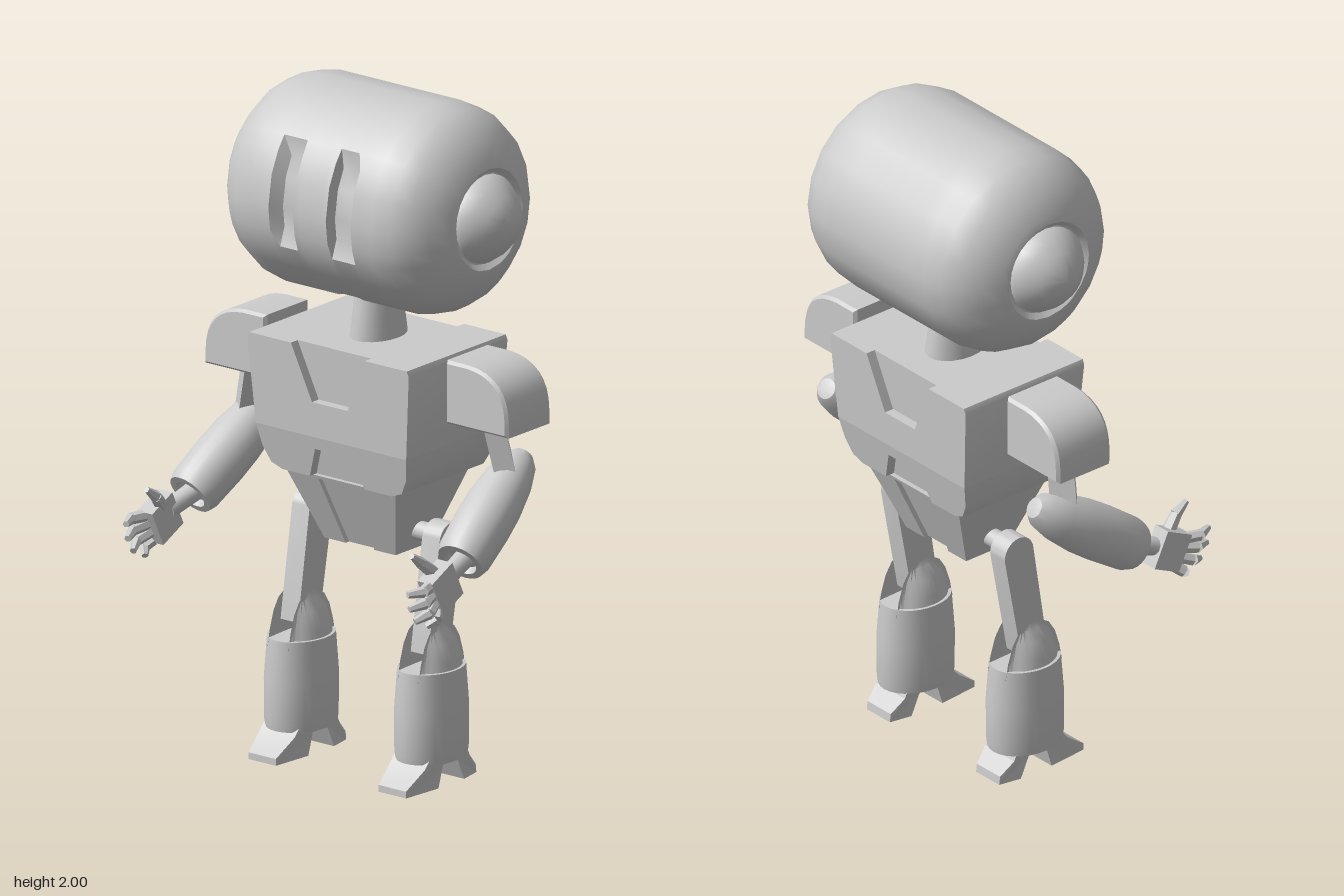
import * as THREE from 'three';
import { toCreasedNormals } from 'three/addons/utils/BufferGeometryUtils.js';

const mat = new THREE.MeshStandardMaterial({ color: 0xcccccc });
const CZ = -0.095; // depth of the body's middle
const V = (x, y, z) => new THREE.Vector3(x, y, z);
const pts = (list) => list.map(([a, b]) => new THREE.Vector2(a, b));

function add(parent, name, geo, crease = 0.6) {
  const mesh = new THREE.Mesh(crease ? toCreasedNormals(geo, crease) : geo, mat);
  mesh.name = name;
  parent.add(mesh);
  return mesh;
}

// Tapered rod from p (radius r0) to q (radius r1)
function rod(parent, name, p, q, r0, r1 = r0, sides = 16) {
  const d = q.clone().sub(p);
  const mesh = add(parent, name, new THREE.CylinderGeometry(r1, r0, d.length(), sides));
  mesh.position.copy(p).addScaledVector(d, 0.5);
  mesh.quaternion.setFromUnitVectors(V(0, 1, 0), d.normalize());
  return mesh;
}

// Lathe whose axis runs from p towards q; profile is [radius, distance]
function turned(parent, name, profile, p, q, sides = 24) {
  const mesh = add(parent, name, new THREE.LatheGeometry(pts(profile), sides));
  mesh.position.copy(p);
  mesh.quaternion.setFromUnitVectors(V(0, 1, 0), q.clone().sub(p).normalize());
  return mesh;
}

// Symmetric front outline extruded both ways, its half depth running from d0 at y0 to d1 at y1
function slab(parent, name, half, y0, d0, y1, d1) {
  const mirrored = half.map(([x, y]) => [-x, y]).reverse();
  const geo = new THREE.ExtrudeGeometry(new THREE.Shape(pts([...half, ...mirrored])), { depth: 2, bevelEnabled: false });
  geo.translate(0, 0, -1);
  const p = geo.attributes.position;
  for (let i = 0; i < p.count; i++) {
    const t = (p.getY(i) - y0) / (y1 - y0);
    p.setZ(i, CZ + p.getZ(i) * (d0 + (d1 - d0) * t));
  }
  geo.computeVertexNormals();
  add(parent, name, geo);
}

// Barrel head on the x axis, with eye slots and a neck recess pressed into the grid
function buildHead(root) {
  const head = new THREE.Group();
  head.name = 'head';
  root.add(head);
  const side = [[0.04, 0.31], [0.06, 0.31], [0.065, 0.31], [0.075, 0.31], [0.125, 0.31], [0.15, 0.31], [0.22, 0.31],
    [0.28, 0.298], [0.33, 0.27], [0.37, 0.225], [0.4, 0.17], [0.405, 0.15], [0.39, 0.135], [0.39, 0.001]];
  const rows = [...side.map(([x, r]) => [-x, r]).reverse(), ...side];
  const angles = [-123, -118, -62, -57, -22, -13, 31, 40];
  for (let a = -180; a < 180; a += 18) {
    if (!(a > -22 && a < -13) && !(a > 31 && a < 40)) angles.push(a);
  }
  angles.sort((a, b) => a - b);
  const n = angles.length, pos = [], idx = [], e = 1e-6;
  rows.forEach(([x, r], i) => angles.forEach((deg, j) => {
    const ax = Math.abs(x);
    const eye = ax > 0.065 - e && ax < 0.125 + e && deg >= -13 && deg <= 31;
    const neck = ax < 0.06 + e && Math.abs(deg + 90) <= 28;
    const rr = r - (eye || neck ? 0.035 : 0), a = THREE.MathUtils.degToRad(deg);
    pos.push(x, 1.69 + rr * Math.sin(a), -0.1 + rr * Math.cos(a));
    if (i === rows.length - 1) return;
    const k = (j + 1) % n, A = i * n + j, B = A + n, C = i * n + k;
    idx.push(A, B, C, B, C + n, C);
  }));
  const geo = new THREE.BufferGeometry();
  geo.setAttribute('position', new THREE.Float32BufferAttribute(pos, 3));
  geo.setIndex(idx);
  geo.computeVertexNormals();
  add(head, 'headShell', geo);
  for (const s of [1, -1]) {
    turned(head, 'ear', [[0.13, 0], [0.128, 0.015], [0.108, 0.045], [0.078, 0.075], [0.04, 0.096], [0, 0.102]],
      V(0.389 * s, 1.69, -0.1), V(s, 1.69, -0.1));
  }
}

function buildTorso(root) {
  const torso = new THREE.Group();
  torso.name = 'torso';
  root.add(torso);
  const upper = [[0.275, 1.0], [0.295, 1.255], [0.288, 1.27]];
  const lower = [[0.2, 0.87], [0.238, 0.885], [0.262, 0.93], [0.275, 1.0]];
  const hips = [[0.13, 0.655], [0.2, 0.87]];
  const inset = (list) => list.map(([x, y]) => [x * 0.995, y]);
  // Notched plates outside, plain cores showing at the bottom of the notches
  slab(torso, 'chestPlate', [...upper, [0.135, 1.27], [0.065, 1.105]], 1, 0.208, 1.27, 0.222);
  slab(torso, 'chestCore', inset(upper), 1, 0.178, 1.27, 0.192);
  slab(torso, 'bellyPlate', [[0.065, 0.962], [0.1, 0.87], ...lower], 0.87, 0.18, 1, 0.208);
  slab(torso, 'bellyCore', inset(lower), 0.87, 0.15, 1, 0.178);
  slab(torso, 'pelvisPlate', [[0.085, 0.86], [0.052, 0.655], ...hips], 0.655, 0.078, 0.87, 0.165);
  slab(torso, 'pelvisCore', inset(hips), 0.655, 0.063, 0.87, 0.15);
  rod(torso, 'neck', V(0, 1.26, -0.1), V(0, 1.43, -0.1), 0.072, 0.055, 20).scale.z = 1.38;
}

function buildArm(root, s) {
  const arm = new THREE.Group();
  arm.name = s > 0 ? 'leftArm' : 'rightArm';
  root.add(arm);
  rod(arm, 'shoulderPin', V(0.27 * s, 1.197, CZ), V(0.35 * s, 1.197, CZ), 0.043);

  // Shoulder guard with a rounded outer corner
  const shape = new THREE.Shape();
  shape.moveTo(0.337 * s, 1.1);
  shape.lineTo(0.337 * s, 1.272);
  shape.lineTo(0.41 * s, 1.272);
  shape.quadraticCurveTo(0.545 * s, 1.265, 0.547 * s, 1.13);
  shape.lineTo(0.547 * s, 1.1);
  const guard = new THREE.ExtrudeGeometry(shape,
    { depth: 0.18, bevelSize: 0.008, bevelThickness: 0.01, bevelSegments: 1, curveSegments: 8 });
  add(arm, 'shoulderGuard', guard.translate(0, 0, CZ - 0.09));

  const upperArm = rod(arm, 'upperArm', V(0.425 * s, 1.13, -0.08), V(0.478 * s, 0.9, -0.1), 0.046, 0.046, 4);
  upperArm.geometry = toCreasedNormals(new THREE.BoxGeometry(0.06, 0.24, 0.075), 0.3);

  const elbow = V(0.452 * s, 0.978, -0.2), wrist = V(0.495 * s, 0.743, 0.145);
  turned(arm, 'forearm', [[0, 0], [0.03, 0.006], [0.052, 0.035], [0.07, 0.1], [0.081, 0.19], [0.083, 0.27],
    [0.079, 0.385], [0.07, 0.412], [0.05, 0.412], [0.045, 0.39], [0, 0.39]], elbow, wrist);
  rod(arm, 'wrist', V(0.493 * s, 0.755, 0.12), V(0.507 * s, 0.72, 0.225), 0.03, 0.027, 12);

  // Hand: palm, four spread and slightly curled fingers, thumb
  const palm = add(arm, 'palm', new THREE.BoxGeometry(0.055, 0.115, 0.1), 0.3);
  palm.position.set(0.512 * s, 0.705, 0.25);
  palm.rotation.set(0.45, 0, 0);
  const tips = [[0.72, 0.4], [0.675, 0.393], [0.632, 0.368], [0.605, 0.315]];
  tips.forEach(([y, z], i) => {
    const t = i / 3;
    const base = V(0.52 * s, 0.722 - 0.08 * t, 0.308 - 0.035 * t);
    const tip = V(0.515 * s, y, z);
    const mid = base.clone().lerp(tip, 0.5).setX(0.535 * s);
    rod(arm, 'finger', base, mid, 0.018, 0.017, 6);
    rod(arm, 'fingertip', mid, tip, 0.017, 0.01, 6);
  });
  rod(arm, 'thumb', V(0.5 * s, 0.745, 0.26), V(0.485 * s, 0.785, 0.305), 0.022, 0.018, 6);
  rod(arm, 'thumbTip', V(0.485 * s, 0.785, 0.305), V(0.485 * s, 0.815, 0.345), 0.018, 0.009, 6);
}

function buildLeg(root, s) {
  const leg = new THREE.Group();
  leg.name = s > 0 ? 'leftLeg' : 'rightLeg';
  leg.position.x = 0.238 * s;
  root.add(leg);
  rod(leg, 'hipPin', V(-0.13 * s, 0.715, CZ), V(0, 0.715, CZ), 0.028);

  // Thigh: flat bar with rounded ends, leaning forward to the knee
  const bar = new THREE.Shape();
  bar.absarc(0, 0, 0.053, 0, Math.PI);
  bar.lineTo(-0.048, -0.33);
  bar.lineTo(0.048, -0.33);
  const thigh = add(leg, 'thigh', new THREE.ExtrudeGeometry(bar, { depth: 0.064, bevelEnabled: false })
    .translate(0, 0, -0.032).rotateY(Math.PI / 2));
  thigh.position.set(0, 0.708, CZ);
  thigh.rotation.x = -0.17;
  rod(leg, 'kneePin', V(-0.05, 0.41, -0.045), V(0.05, 0.41, -0.045), 0.025);

  // Shin shell with two prongs that hold the knee, each flattened on its inner side
  const shin = add(leg, 'shin', new THREE.LatheGeometry(pts([[0, 0.1], [0.078, 0.1], [0.082, 0.078], [0.092, 0.078],
    [0.095, 0.1], [0.096, 0.22], [0.088, 0.345], [0, 0.35]]), 28));
  shin.scale.z = 1.27;
  shin.position.z = -0.046;
  for (const side of [1, -1]) {
    const geo = new THREE.LatheGeometry(pts([[0.084, 0.32], [0.076, 0.37], [0.063, 0.42], [0.045, 0.455], [0.022, 0.473], [0, 0.475]]), 32);
    const p = geo.attributes.position;
    for (let i = 0; i < p.count; i++) p.setX(i, side * Math.max(p.getX(i) * side, 0.038));
    geo.computeVertexNormals();
    const prong = add(leg, 'kneeProng', geo);
    prong.scale.z = 1.25;
    prong.position.z = -0.046;
  }

  // Foot: arched side outline, narrowed towards toe and heel
  const outline = [[0.13, 0.005], [0.13, 0.025], [0.06, 0.075], [0.03, 0.11], [-0.12, 0.11], [-0.14, 0.07],
    [-0.182, 0.03], [-0.185, 0.005], [-0.115, 0.005], [-0.085, 0.07], [-0.02, 0.07], [0, 0.005]];
  const foot = new THREE.ExtrudeGeometry(new THREE.Shape(pts(outline)), { depth: 0.126, bevelEnabled: false });
  foot.translate(0, -0.005, -0.063).rotateY(-Math.PI / 2);
  const p = foot.attributes.position;
  for (let i = 0; i < p.count; i++) {
    const z = p.getZ(i);
    if (z > 0.1 || z < -0.16) p.setX(i, p.getX(i) * 0.8);
  }
  foot.computeVertexNormals();
  add(leg, 'foot', foot, 0.3);
}

export function createModel() {
  const root = new THREE.Group();
  root.name = 'robot';
  buildHead(root);
  buildTorso(root);
  for (const s of [1, -1]) {
    buildArm(root, s);
    buildLeg(root, s);
  }
  return root;
}
